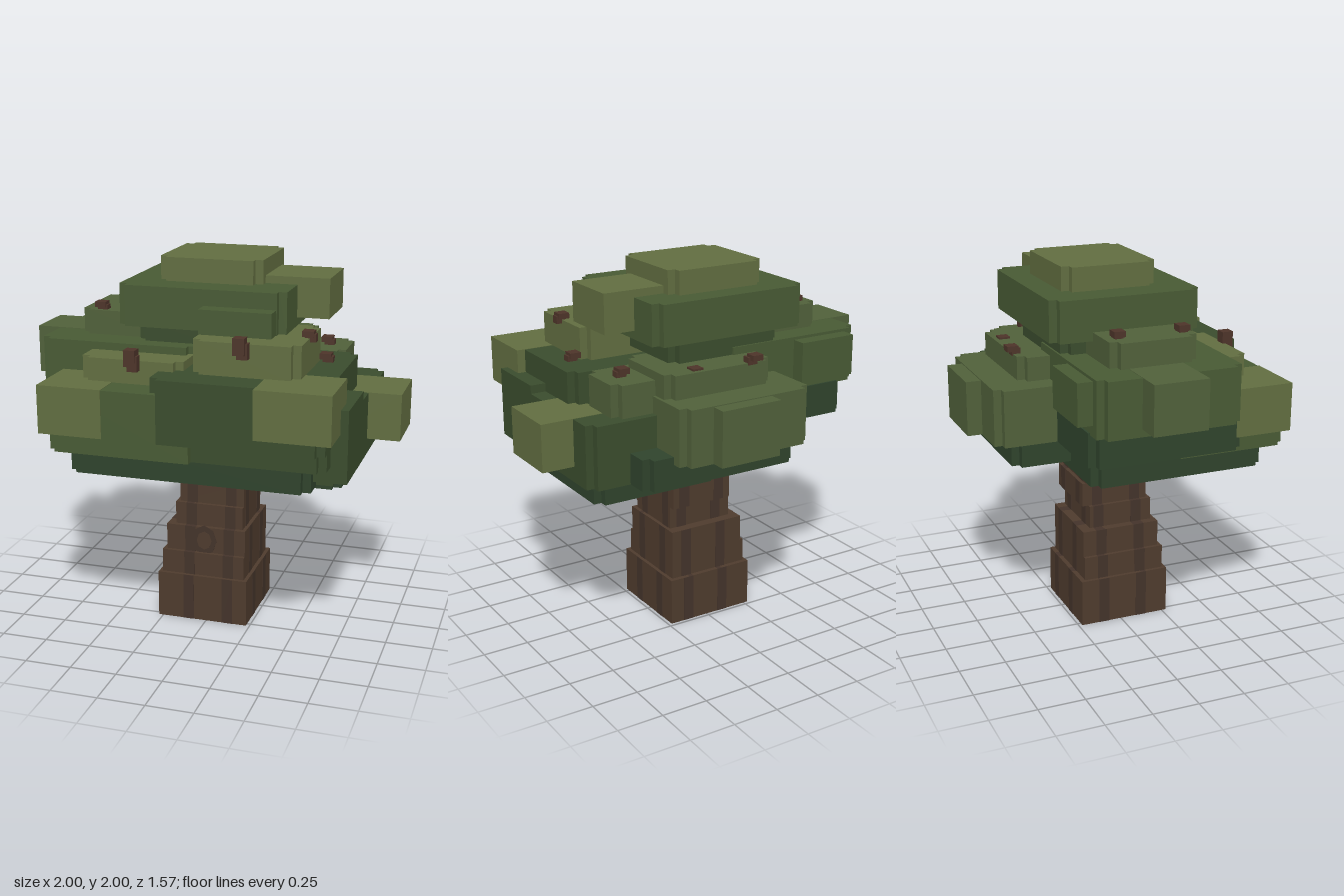
import * as THREE from 'three';

const mat = (color) => new THREE.MeshStandardMaterial({ color, flatShading: true });
const LIGHT = mat(0x616d40), OLIVE = mat(0x50603a), MID = mat(0x485a34);
const DARK = mat(0x3a4c2d), DEEP = mat(0x2f432c);
const BARK = mat(0x4e3b2d), BARK_DARK = mat(0x43332a), TWIG = mat(0x4d3429);

// Block given by its min and max on x, y and z; notch cuts a square step out of each upright corner
function block(parent, name, material, [x0, x1, y0, y1, z0, z1], notch = 0) {
  let geo;
  if (notch) {
    const a = (x1 - x0) / 2, b = (z1 - z0) / 2, n = notch;
    const pts = [
      [a - n, -b], [a - n, -b + n], [a, -b + n], [a, b - n], [a - n, b - n], [a - n, b],
      [-a + n, b], [-a + n, b - n], [-a, b - n], [-a, -b + n], [-a + n, -b + n], [-a + n, -b],
    ].map(([x, y]) => new THREE.Vector2(x, y));
    geo = new THREE.ExtrudeGeometry(new THREE.Shape(pts), { depth: y1 - y0, bevelEnabled: false });
    geo.rotateX(-Math.PI / 2).translate(0, (y0 - y1) / 2, 0);
  } else {
    geo = new THREE.BoxGeometry(x1 - x0, y1 - y0, z1 - z0);
  }
  geo.translate((x0 + x1) / 2, (y0 + y1) / 2, (z0 + z1) / 2);
  const mesh = new THREE.Mesh(geo, material);
  mesh.name = name;
  parent.add(mesh);
  return mesh;
}

function createTrunk() {
  const trunk = new THREE.Group();
  trunk.name = 'trunk';
  // Stacked segments, narrowing upwards
  const segments = [
    [-0.275, 0.23, 0, 0.26, -0.23, 0.275],
    [-0.255, 0.21, 0.26, 0.39, -0.205, 0.255],
    [-0.235, 0.21, 0.39, 0.535, -0.205, 0.235],
    [-0.19, 0.19, 0.535, 0.66, -0.15, 0.21],
    [-0.17, 0.19, 0.66, 0.79, -0.185, 0.19],
    [-0.17, 0.19, 0.79, 1.1, -0.165, 0.19],
    [-0.12, 0.12, 1.1, 1.6, -0.13, 0.1],
  ];
  segments.forEach((s, i) => {
    block(trunk, 'trunkSegment', BARK, s);
    if (i > 5) return;
    // Darker bark grain on all four sides
    const [x0, x1, y0, y1, z0, z1] = s, e = 0.002;
    for (const c of [-0.1, 0.12]) {
      block(trunk, 'barkGrain', BARK_DARK, [c - 0.03, c + 0.03, y0, y1, z0 - e, z1 + e]);
      block(trunk, 'barkGrain', BARK_DARK, [x0 - e, x1 + e, y0, y1, c - 0.03, c + 0.03]);
    }
  });
  // Branch stubs under the crown
  block(trunk, 'branchStub', BARK, [0.15, 0.23, 0.79, 0.9, -0.08, 0.08]);
  block(trunk, 'branchStub', BARK, [-0.215, -0.1, 0.905, 1.0, -0.08, 0.08]);
  // Knot on the front
  [[0.07, 0.004, BARK_DARK], [0.042, 0.006, BARK]].forEach(([r, d, m]) => {
    const knot = new THREE.Mesh(new THREE.CylinderGeometry(r, r, d, 8).rotateX(Math.PI / 2), m);
    knot.name = 'knot';
    knot.scale.y = 1.25;
    knot.position.set(-0.02, 0.46, 0.235 + d / 2);
    trunk.add(knot);
  });
  return trunk;
}

function createCrown() {
  const crown = new THREE.Group();
  crown.name = 'crown';
  const N = 0.042;
  const add = (name, rows) => {
    const tier = new THREE.Group();
    tier.name = name;
    rows.forEach(([m, box, notch]) => block(tier, 'leafBlock', m, box, notch));
    crown.add(tier);
  };
  add('lowestLeaves', [
    [DEEP, [0.02, 0.74, 0.86, 0.99, -0.36, 0.32], N],
    [DEEP, [-0.62, 0.655, 0.94, 1.16, -0.3, 0.66], N],
    [DARK, [0.36, 0.74, 0.945, 1.11, 0.0, 0.5]],
    [DEEP, [-0.3, 0.6, 0.985, 1.15, -0.61, 0.1], N],
    [DEEP, [-0.785, 0.0, 1.11, 1.29, -0.38, 0.45], N],
  ]);
  add('rightLeaves', [
    [DARK, [0, 0.825, 0.985, 1.32, -0.45, 0.36], N],
    [DARK, [0.3, 0.825, 0.987, 1.365, 0.2, 0.575]],
    [LIGHT, [0.65, 1.0, 1.07, 1.322, -0.28, 0.06]],
    [OLIVE, [0.1, 0.66, 1.3, 1.49, -0.41, -0.1], N],
  ]);
  add('frontLeaves', [
    [MID, [-0.7, 0.1, 1.07, 1.412, 0.1, 0.74], N],
    [LIGHT, [-0.745, -0.4, 1.16, 1.415, 0.38, 0.743]],
    [DARK, [0, 0.74, 1.07, 1.2, 0.1, 0.7], N],
    [DARK, [-0.15, 0.74, 1.16, 1.49, -0.1, 0.745], N],
    [LIGHT, [0.4, 0.785, 1.24, 1.492, 0.44, 0.785]],
    [LIGHT, [-0.575, -0.03, 1.4, 1.535, 0.2, 0.575], N],
    [LIGHT, [0.02, 0.575, 1.485, 1.66, 0.07, 0.575], N],
  ]);
  add('backLeaves', [
    [OLIVE, [-0.32, 0.445, 1.11, 1.41, -0.705, -0.2], N],
    [OLIVE, [-0.07, 0.275, 1.112, 1.405, -0.785, -0.5]],
    [OLIVE, [-0.195, 0.43, 1.4, 1.535, -0.535, -0.1], N],
  ]);
  add('leftLeaves', [
    [MID, [-0.87, -0.02, 1.28, 1.575, -0.37, 0.4], N],
    [MID, [-0.785, -0.45, 1.34, 1.56, -0.45, -0.2]],
    [OLIVE, [-1.0, -0.7, 1.32, 1.577, -0.15, 0.14]],
    [OLIVE, [-0.705, -0.2, 1.57, 1.705, -0.235, 0.23], N],
  ]);
  add('topLeaves', [
    [DARK, [-0.36, 0.3, 1.535, 1.67, -0.36, 0.3], N],
    [MID, [-0.45, 0.445, 1.66, 1.875, -0.45, 0.36], N],
    [MID, [0.02, 0.4, 1.662, 1.79, 0.2, 0.45]],
    [LIGHT, [0.1, 0.615, 1.705, 1.915, -0.235, 0.1]],
    [LIGHT, [-0.28, 0.275, 1.87, 2.0, -0.32, 0.19], N],
  ]);
  return crown;
}

// Twigs: a stem with a slightly offset bud, given by x, base y, z and outward step
function createTwigs() {
  const twigs = new THREE.Group();
  twigs.name = 'twigs';
  const spots = [
    [-0.08, 1.535, -0.52, -0.02], [0.24, 1.5, -0.47, -0.01], [0.535, 1.49, -0.26, 0],
    [0.61, 1.49, 0.125, 0], [0.565, 1.65, 0.335, 0], [0.285, 1.6, 0.595, 0.02],
    [-0.29, 1.495, 0.59, 0], [-0.605, 1.7, 0.18, 0], [-0.6, 1.7, -0.165, 0],
  ];
  spots.forEach(([x, y, z, out]) => {
    const tall = z > 0.55 ? 0.04 : 0;
    block(twigs, 'twigStem', TWIG, [x - 0.015, x + 0.04, y - 0.01, y + 0.03 + tall, z - 0.02, z + 0.025]);
    block(twigs, 'twigBud', TWIG,
      [x - 0.03, x + 0.03, y + 0.015, y + 0.045 + 1.4 * tall, z - 0.03 + out, z + 0.03 + out]);
  });
  return twigs;
}

export function createModel() {
  const tree = new THREE.Group();
  tree.name = 'tree';
  tree.add(createTrunk(), createCrown(), createTwigs());
  return tree;
}
